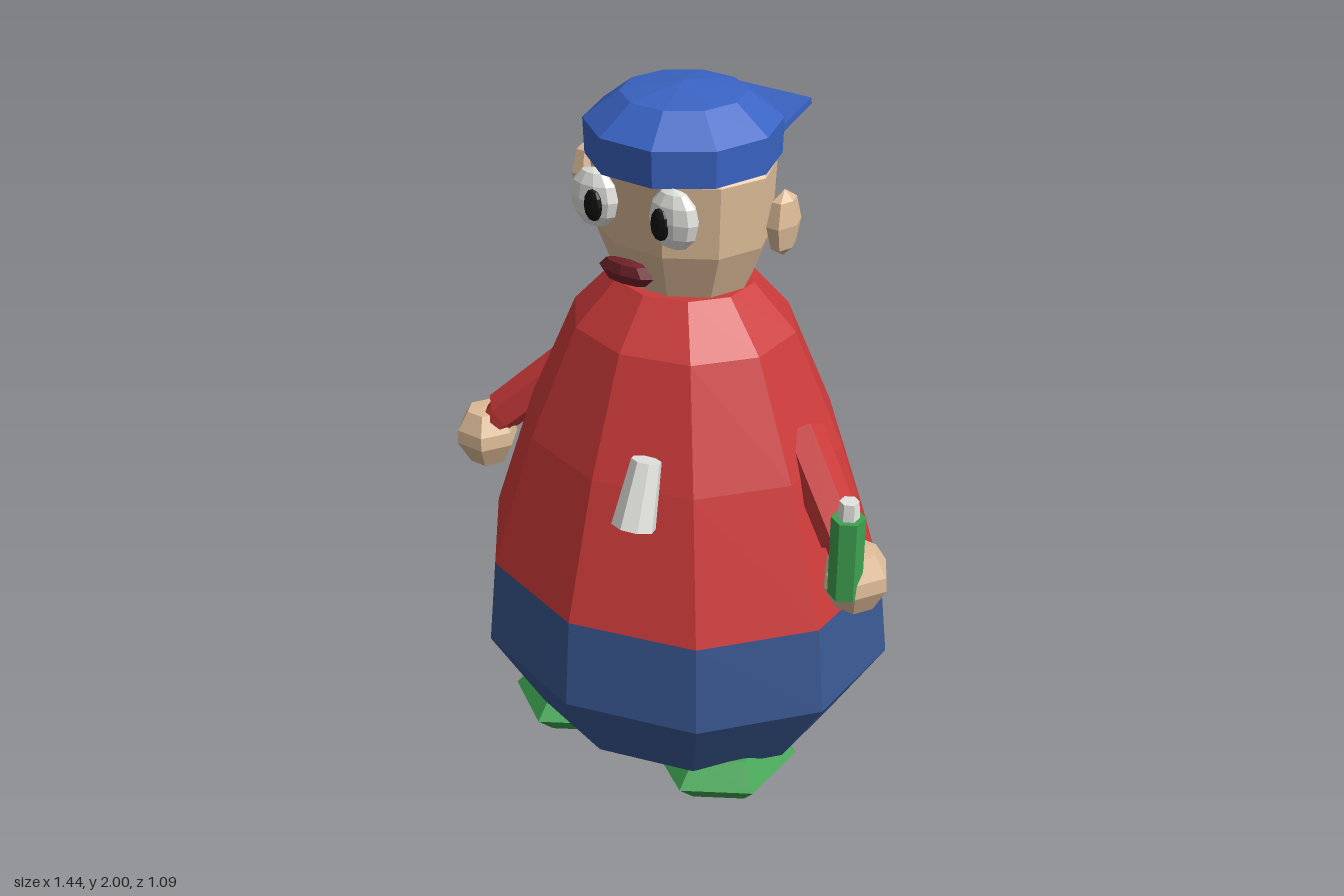
import * as THREE from 'three';

const mat = (color) => new THREE.MeshStandardMaterial({ color, flatShading: true });

export function createModel() {
  const root = new THREE.Group();
  const red = mat(0xcc3a3a), hatBlue = mat(0x3a64c4), trouserBlue = mat(0x3a5892);
  const skin = mat(0xdfbd99), green = mat(0x3ea351), dark = mat(0x111111);
  const white = mat(0xe4e4e0), lip = mat(0x702329);

  const add = (name, geometry, material, position = [0, 0, 0], scale = [1, 1, 1]) => {
    const mesh = new THREE.Mesh(geometry, material);
    mesh.name = name;
    mesh.position.set(...position);
    mesh.scale.set(...scale);
    root.add(mesh);
    return mesh;
  };
  // Faceted solid of revolution, profile given from bottom to top
  const lathe = (profile, sides, start = 0) =>
    new THREE.LatheGeometry(profile.map(([r, y]) => new THREE.Vector2(r, y)), sides, start);
  // Tapered prism running between two points
  const limb = (name, material, from, to, r0, r1, sides) => {
    const a = new THREE.Vector3(...from), b = new THREE.Vector3(...to);
    const dir = b.clone().sub(a);
    const mid = a.clone().add(b).multiplyScalar(0.5);
    const mesh = add(name, new THREE.CylinderGeometry(r1, r0, dir.length(), sides), material, mid.toArray());
    mesh.quaternion.setFromUnitVectors(new THREE.Vector3(0, 1, 0), dir.normalize());
    return mesh;
  };

  // Body: ten-sided, wider than deep
  const bodyScale = [1.12, 1, 1];
  add('trousers', lathe([[0, 0.145], [0.405, 0.145], [0.545, 0.4], [0.52, 0.655]], 10),
    trouserBlue, [0, 0, 0], bodyScale);
  add('shirt', lathe([[0.52, 0.655], [0.405, 1.04], [0.28, 1.355], [0.175, 1.48], [0, 1.48]], 10),
    red, [0, 0, 0], bodyScale);

  // Head and cap, with corners on the x axis
  add('head', lathe([[0, 1.465], [0.19, 1.485], [0.24, 1.61], [0.25, 1.8], [0.2, 1.86], [0, 1.88]], 10, Math.PI / 2),
    skin, [0, 0, 0], [1, 1, 0.85]);
  add('cap', lathe([[0, 1.81], [0.25, 1.81], [0.253, 1.905], [0.16, 1.975], [0, 2]], 10, Math.PI / 2), hatBlue);
  const visor = add('capVisor', new THREE.BoxGeometry(0.25, 0.018, 0.25), hatBlue, [0, 1.822, -0.283]);
  visor.rotation.x = 0.28;

  // Mouth
  add('mouth', new THREE.SphereGeometry(1, 8, 4), lip, [0, 1.573, 0.245], [0.085, 0.036, 0.027]);

  const blob = new THREE.SphereGeometry(1, 10, 6);
  const ear = new THREE.SphereGeometry(1, 6, 4);
  const hand = lathe([[0, -0.09], [0.055, -0.08], [0.092, -0.01], [0.088, 0.03], [0.055, 0.085], [0, 0.09]],
    6, Math.PI / 2);
  const foot = new THREE.SphereGeometry(1, 6, 4);
  foot.rotateY(Math.PI / 2);

  for (const s of [1, -1]) {
    const side = s > 0 ? 'left' : 'right';
    // Face
    add(side + 'Ear', ear, skin, [s * 0.305, 1.697, 0], [0.036, 0.088, 0.06]);
    add(side + 'Eye', blob, white, [s * 0.122, 1.732, 0.21], [0.073, 0.08, 0.037]);
    add(side + 'Pupil', blob, dark, [s * 0.103, 1.724, 0.241], [0.028, 0.043, 0.015]);
    // Arm: sleeve, cuff, hand
    limb(side + 'Sleeve', red, [s * 0.37, 1.115, -0.01], [s * 0.575, 0.915, 0.095], 0.064, 0.06, 6);
    limb(side + 'Cuff', red, [s * 0.565, 0.925, 0.09], [s * 0.605, 0.87, 0.11], 0.05, 0.045, 8);
    add(side + 'Hand', hand, skin, [s * 0.627, 0.83, 0.113]);
    // Shoe
    add(side + 'Shoe', foot, green, [s * 0.255, 0.1, 0.155], [0.2, 0.095, 0.218]);
  }

  // Bottle held in the left hand
  add('bottle', new THREE.CylinderGeometry(0.044, 0.044, 0.23, 6), green, [0.635, 0.935, 0.18]);
  add('bottleCap', new THREE.CylinderGeometry(0.025, 0.028, 0.05, 6), white, [0.635, 1.073, 0.18]);

  // Tilted cup in front of the chest
  const cup = add('cup', new THREE.CylinderGeometry(0.039, 0.057, 0.175, 8), white, [0.203, 1.108, 0.467]);
  cup.rotation.x = -0.33;

  return root;
}
